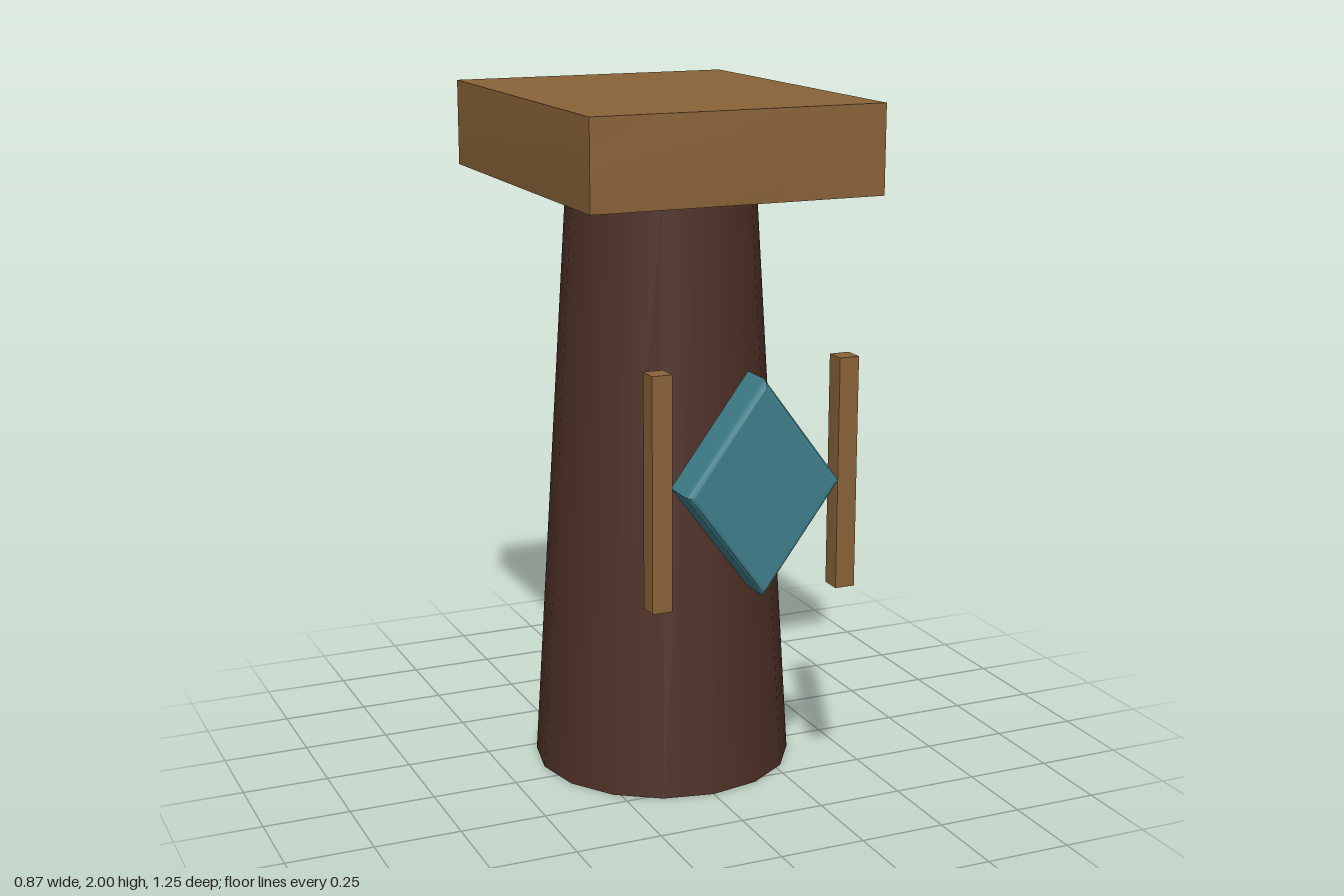
import * as THREE from 'three';

const material = (name, color) => {
  const m = new THREE.MeshStandardMaterial({ color });
  m.name = name;
  return m;
};

// Box whose faces swell slightly outward at their centres
function pillowBox(w, h, d, swell) {
  const g = new THREE.BoxGeometry(w, h, d, 2, 2, 2);
  const p = g.attributes.position;
  for (let i = 0; i < p.count; i++) {
    const x = (2 * p.getX(i)) / w, y = (2 * p.getY(i)) / h, z = (2 * p.getZ(i)) / d;
    const fx = 1 - x * x, fy = 1 - y * y, fz = 1 - z * z;
    p.setXYZ(
      i,
      p.getX(i) + x * swell * fy * fz,
      p.getY(i) + y * swell * fx * fz,
      p.getZ(i) + z * swell * fx * fy
    );
  }
  g.computeVertexNormals();
  return g;
}

export function createModel() {
  const group = new THREE.Group();
  const darkWood = material('dark wood', 0x4e3026);
  const lightWood = material('light wood', 0x8a6338);
  const teal = material('teal', 0x3f7f8b);

  const add = (name, geometry, mat, x, y, z) => {
    const mesh = new THREE.Mesh(geometry, mat);
    mesh.name = name;
    mesh.position.set(x, y, z);
    group.add(mesh);
    return mesh;
  };

  // Tapered column and the slab on top
  add('column', new THREE.CylinderGeometry(0.272, 0.382, 1.75, 16), darkWood, 0, 0.875, -0.077);
  add('topSlab', pillowBox(0.856, 0.25, 1.074, 0.008), lightWood, 0, 1.866, -0.077);

  // Bevelled diamond in front of the column
  const rx = 0.206, ry = 0.279;
  const outline = new THREE.Shape([
    new THREE.Vector2(rx, 0), new THREE.Vector2(0, ry),
    new THREE.Vector2(-rx, 0), new THREE.Vector2(0, -ry),
  ]);
  const diamond = new THREE.ExtrudeGeometry(outline, {
    depth: 0.088, bevelEnabled: true, bevelThickness: 0.02, bevelSize: 0.015, bevelSegments: 3,
  });
  add('diamond', diamond, teal, 0, 1.004, 0.515);

  // Upright bars either side of the diamond
  for (const side of [-1, 1]) {
    add(side > 0 ? 'leftBar' : 'rightBar', pillowBox(0.057, 0.65, 0.06, 0.002), lightWood, side * 0.274, 1.004, 0.537);
  }
  return group;
}
